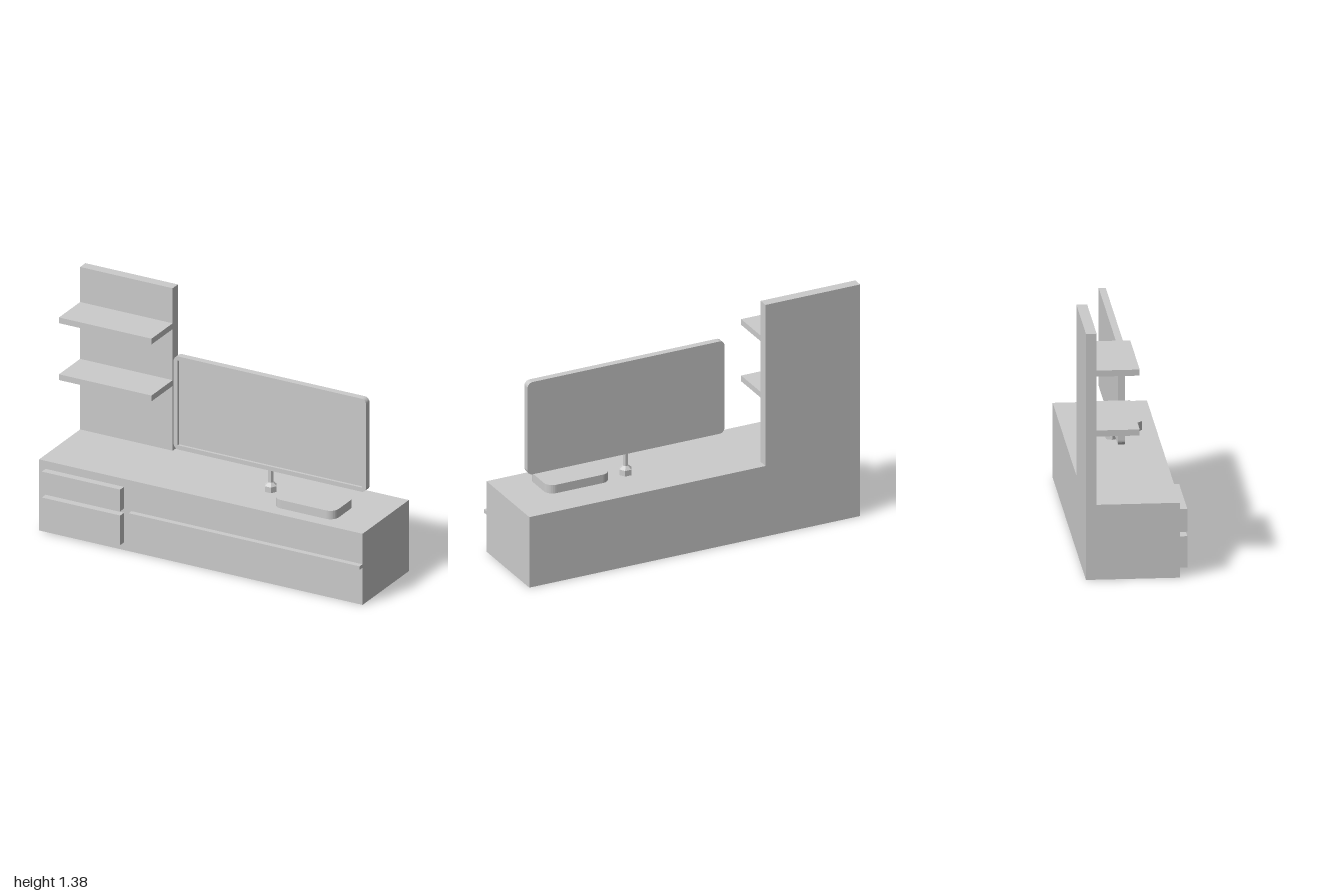
import * as THREE from 'three';

const material = new THREE.MeshStandardMaterial({ color: 0xcccccc, flatShading: true });

export function createModel() {
  const model = new THREE.Group();
  model.name = 'mediaUnit';

  const add = (name, geometry, parent = model) => {
    const mesh = new THREE.Mesh(geometry, material);
    mesh.name = name;
    parent.add(mesh);
    return mesh;
  };

  // Box given by its low and high limits on each axis
  const box = (name, [x0, x1], [y0, y1], [z0, z1], parent) => {
    const mesh = add(name, new THREE.BoxGeometry(x1 - x0, y1 - y0, z1 - z0), parent);
    mesh.position.set((x0 + x1) / 2, (y0 + y1) / 2, (z0 + z1) / 2);
    return mesh;
  };

  // Centred rectangle with rounded corners
  const roundedRect = (w, h, r) => {
    const s = new THREE.Shape();
    const x = w / 2 - r, y = h / 2 - r;
    s.absarc(x, y, r, 0, Math.PI / 2);
    s.absarc(-x, y, r, Math.PI / 2, Math.PI);
    s.absarc(-x, -y, r, Math.PI, Math.PI * 1.5);
    s.absarc(x, -y, r, Math.PI * 1.5, Math.PI * 2);
    return s;
  };
  const extrude = (shape, depth) =>
    new THREE.ExtrudeGeometry(shape, { depth, bevelEnabled: false, curveSegments: 4 });

  // Cabinet with drawer fronts and a long handle rail
  box('cabinet', [-1, 1], [0, 0.42], [-0.275, 0.235]);
  box('lowerDrawer', [-0.96, -0.475], [0.045, 0.22], [0.235, 0.277]);
  box('upperDrawer', [-0.96, -0.475], [0.245, 0.373], [0.235, 0.277]);
  box('handleRail', [-0.428, 1], [0.22, 0.24], [0.235, 0.267]);

  // Tall back panel with two shelves
  box('backPanel', [-1, -0.428], [0.42, 1.38], [-0.275, -0.217]);
  for (const y of [0.803, 1.139]) {
    box('shelf', [-1, -0.428], [y, y + 0.034], [-0.217, 0.016]);
  }

  // Television: solid back with a raised rim around the recessed screen
  const television = new THREE.Group();
  television.name = 'television';
  television.position.set(0.295, 0.821, -0.038);
  model.add(television);
  add('screenBody', extrude(roundedRect(1.19, 0.55, 0.03), 0.023), television);
  const rim = roundedRect(1.19, 0.55, 0.03);
  const [hx, hy] = [0.57, 0.25];
  rim.holes.push(new THREE.Path([
    new THREE.Vector2(-hx, -hy), new THREE.Vector2(-hx, hy),
    new THREE.Vector2(hx, hy), new THREE.Vector2(hx, -hy),
  ]));
  add('screenRim', extrude(rim, 0.015), television).position.z = 0.023;

  // Six-sided stand: wide foot, tapered collar, thin stem
  const profile = [[0, 0], [0.037, 0], [0.037, 0.033], [0.016, 0.052], [0.016, 0.13], [0, 0.13]];
  const stand = add('stand', new THREE.LatheGeometry(
    profile.map(([r, y]) => new THREE.Vector2(r, y)), 6, Math.PI / 6));
  stand.position.set(0.289, 0.42, -0.02);

  // Low rounded console box on the cabinet top
  const consoleBox = add('consoleBox', extrude(roundedRect(0.38, 0.23, 0.05), 0.05));
  consoleBox.rotation.x = -Math.PI / 2;
  consoleBox.position.set(0.592, 0.42, 0.045);

  return model;
}
